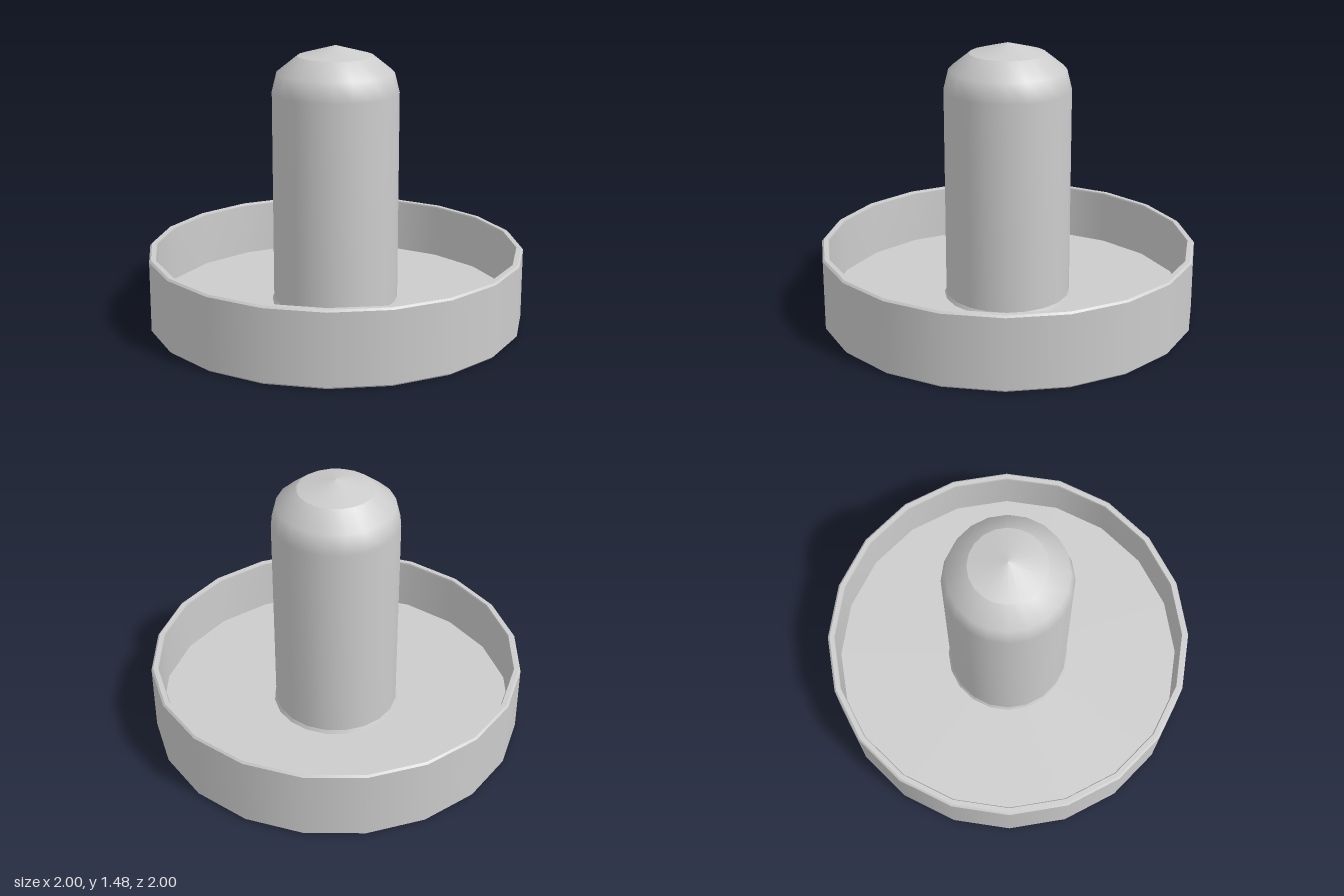
import * as THREE from 'three';

const SIDES = 20;
const material = new THREE.MeshStandardMaterial({ color: 0xcccccc });

// One smooth surface of revolution; separate bands keep the edges between them sharp.
function band(name, profile) {
  const points = profile.map(([r, y]) => new THREE.Vector2(r, y));
  const mesh = new THREE.Mesh(new THREE.LatheGeometry(points, SIDES), material);
  mesh.name = name;
  return mesh;
}

export function createModel() {
  const model = new THREE.Group();
  model.name = 'dishWithPost';

  // Shallow round dish with a thin wall
  const dish = new THREE.Group();
  dish.name = 'dish';
  dish.add(
    band('dishUnderside', [[0, 0], [0.99, 0]]),
    band('lowerBevel', [[0.99, 0], [1, 0.01]]),
    band('outerWall', [[1, 0.01], [1, 0.385]]),
    band('upperBevel', [[1, 0.385], [0.99, 0.395]]),
    band('rim', [[0.99, 0.395], [0.965, 0.395]]),
    band('innerWall', [[0.965, 0.395], [0.96, 0.385], [0.96, 0.096]]),
    band('dishFloor', [[0.96, 0.096], [0, 0.096]]),
  );

  // Central post with a rounded shoulder and a shallow conical cap
  const post = new THREE.Group();
  post.name = 'post';
  post.add(
    band('postBase', [[0.342, 0.096], [0.333, 0.115]]),
    band('postShaft', [[0.333, 0.115], [0.333, 1.23], [0.307, 1.335], [0.2, 1.42]]),
    band('postCap', [[0.2, 1.42], [0, 1.475]]),
  );

  model.add(dish, post);
  return model;
}
